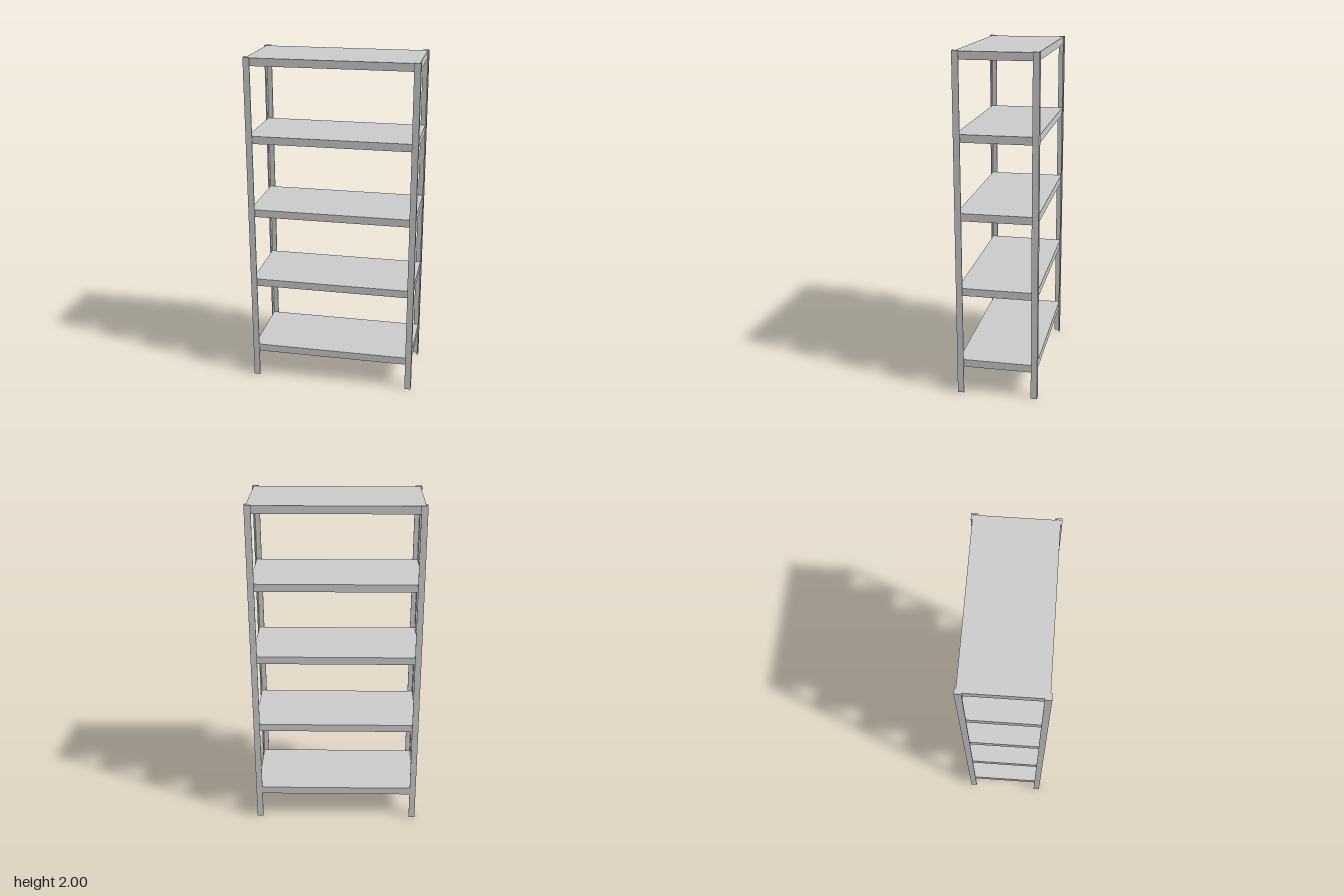
import * as THREE from 'three';

const HALF_W = 0.496, HALF_D = 0.237, HEIGHT = 2; // outer size of the frame
const FLANGE = 0.037, GAUGE = 0.008;              // angle-section posts
const SHELVES = 5, SHELF_H = 0.045, FIRST_TOP = 0.21, LAST_TOP = 1.996;

const material = new THREE.MeshStandardMaterial({ color: 0xcccccc });

// L-section upright whose outer corner sits at the frame corner (sx, sz)
function cornerPost(sx, sz) {
  const section = [
    [0, 0], [FLANGE, 0], [FLANGE, GAUGE], [GAUGE, GAUGE], [GAUGE, FLANGE], [0, FLANGE],
  ].map(([a, b]) => new THREE.Vector2(sx * (HALF_W - a), -sz * (HALF_D - b)));
  const geometry = new THREE.ExtrudeGeometry(new THREE.Shape(section), {
    depth: HEIGHT, bevelEnabled: false,
  });
  geometry.rotateX(-Math.PI / 2);
  const post = new THREE.Mesh(geometry, material);
  post.name = `${sz > 0 ? 'front' : 'back'}${sx > 0 ? 'Left' : 'Right'}Post`;
  return post;
}

export function createModel() {
  const model = new THREE.Group();
  model.name = 'shelvingUnit';

  // Four uprights
  for (const sx of [-1, 1]) for (const sz of [-1, 1]) model.add(cornerPost(sx, sz));

  // Evenly spaced shelves fitted inside the uprights
  const shelfGeometry = new THREE.BoxGeometry(
    2 * (HALF_W - GAUGE), SHELF_H, 2 * (HALF_D - GAUGE));
  for (let i = 0; i < SHELVES; i++) {
    const top = THREE.MathUtils.lerp(FIRST_TOP, LAST_TOP, i / (SHELVES - 1));
    const shelf = new THREE.Mesh(shelfGeometry, material);
    shelf.name = `shelf${i + 1}`;
    shelf.position.y = top - SHELF_H / 2;
    model.add(shelf);
  }
  return model;
}
